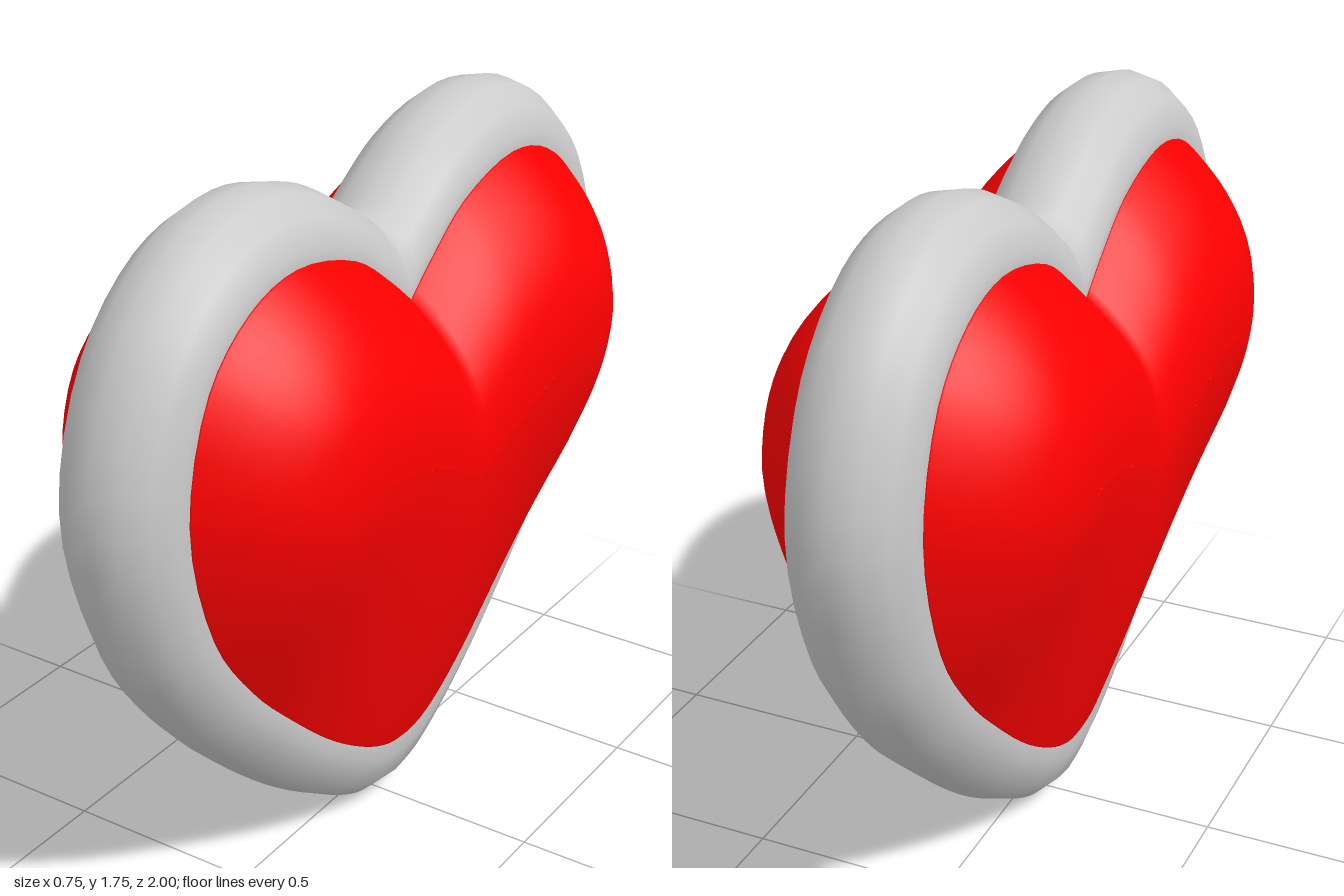
import * as THREE from 'three';
import { mergeVertices } from 'three/addons/utils/BufferGeometryUtils.js';

const R = 0.15;       // rim half thickness
const SIDES = 14;     // sides of the rim section
const HALF = 52;      // steps along half of the heart
const LOOP = HALF * 2;
const RINGS = 18;     // rings of each cushion

// Half outlines as (z, y), from the notch round the lobe to the tip, point matched to point
const curve = (points) => new THREE.CatmullRomCurve3(
  points.map(([z, y]) => new THREE.Vector3(0, y, z)), false, 'centripetal');
const middle = curve([
  [0, 1.38], [0.09, 1.455], [0.23, 1.55], [0.455, 1.605], [0.625, 1.565], [0.77, 1.44], [0.85, 1.17],
  [0.78, 0.86], [0.645, 0.66], [0.5, 0.51], [0.32, 0.35], [0.16, 0.245], [0.07, 0.208], [0, 0.2],
]);
const outer = curve([
  [0, 1.555], [0.14, 1.65], [0.27, 1.715], [0.455, 1.755], [0.68, 1.705], [0.89, 1.51], [1, 1.17],
  [0.915, 0.81], [0.76, 0.565], [0.6, 0.395], [0.4, 0.215], [0.22, 0.085], [0.1, 0.022], [0, 0],
]);

// Middle point and offset to the outer edge at each step of the whole loop
function heartLine() {
  const line = [];
  for (let i = 0; i <= HALF; i++) {
    const p = middle.getPoint(i / HALF), o = outer.getPoint(i / HALF).sub(p);
    line.push({ z: p.z, y: p.y, oz: o.z, oy: o.y, side: 1 });
  }
  for (let i = HALF - 1; i >= 0; i--) line.push({ ...line[i], side: -1 });
  return line;
}

// Grid surface from a position rule, welded for smooth shading
function surface(rows, rule, flip = false) {
  const pos = [], index = [];
  for (let i = 0; i <= LOOP; i++)
    for (let j = 0; j <= rows; j++) pos.push(...rule(i, j));
  for (let i = 0; i < LOOP; i++)
    for (let j = 0; j < rows; j++) {
      const a = i * (rows + 1) + j, b = a + rows + 1;
      if (flip) index.push(a, a + 1, b, b, a + 1, b + 1);
      else index.push(a, b, a + 1, b, b + 1, a + 1);
    }
  let g = new THREE.BufferGeometry();
  g.setAttribute('position', new THREE.Float32BufferAttribute(pos, 3));
  g.setIndex(index);
  g = mergeVertices(g, 1e-4);
  g.computeVertexNormals();
  return g;
}

export function createModel() {
  const group = new THREE.Group();
  const line = heartLine();
  const grey = new THREE.MeshStandardMaterial({ color: 0xcccccc });
  const red = new THREE.MeshStandardMaterial({ color: 0xff0000 });
  const add = (name, geometry, material) => {
    const mesh = new THREE.Mesh(geometry, material);
    mesh.name = name;
    group.add(mesh);
  };

  // Round rim, mitred at the notch and the tip
  add('rim', surface(SIDES, (i, j) => {
    const p = line[i], a = (j % SIDES) / SIDES * Math.PI * 2, c = Math.cos(a);
    return [(R + 0.003) * Math.sin(a), p.y + p.oy * c, p.side * Math.max(0, p.z + p.oz * c)];
  }), grey);

  // Puffed cushion on each side, rising from the rim to a bent ridge joining the lobes
  for (const side of [1, -1]) {
    add(side > 0 ? 'leftCushion' : 'rightCushion', surface(RINGS, (i, j) => {
      const p = line[i];
      const k = Math.sin(Math.min(1, p.z / 0.6) * Math.PI / 2);
      const ridgeZ = Math.min(0.45, p.z * 0.75), ridgeY = 0.98 + 0.17 * k;
      const power = 1.4 + 1.35 * THREE.MathUtils.smoothstep(p.y, 0.25, 1.25);
      // The first ring is tucked into the rim
      const s = j === 0 ? 1 : Math.cos((j - 1) / (RINGS - 1) * Math.PI / 2);
      const x = j === 0 ? R - 0.03 : R + (0.2 + 0.025 * k) * (1 - s ** power);
      return [
        side * x,
        ridgeY + (p.y - ridgeY) * s,
        p.side * (ridgeZ + (p.z - ridgeZ) * s),
      ];
    }, side < 0), red);
  }
  return group;
}
